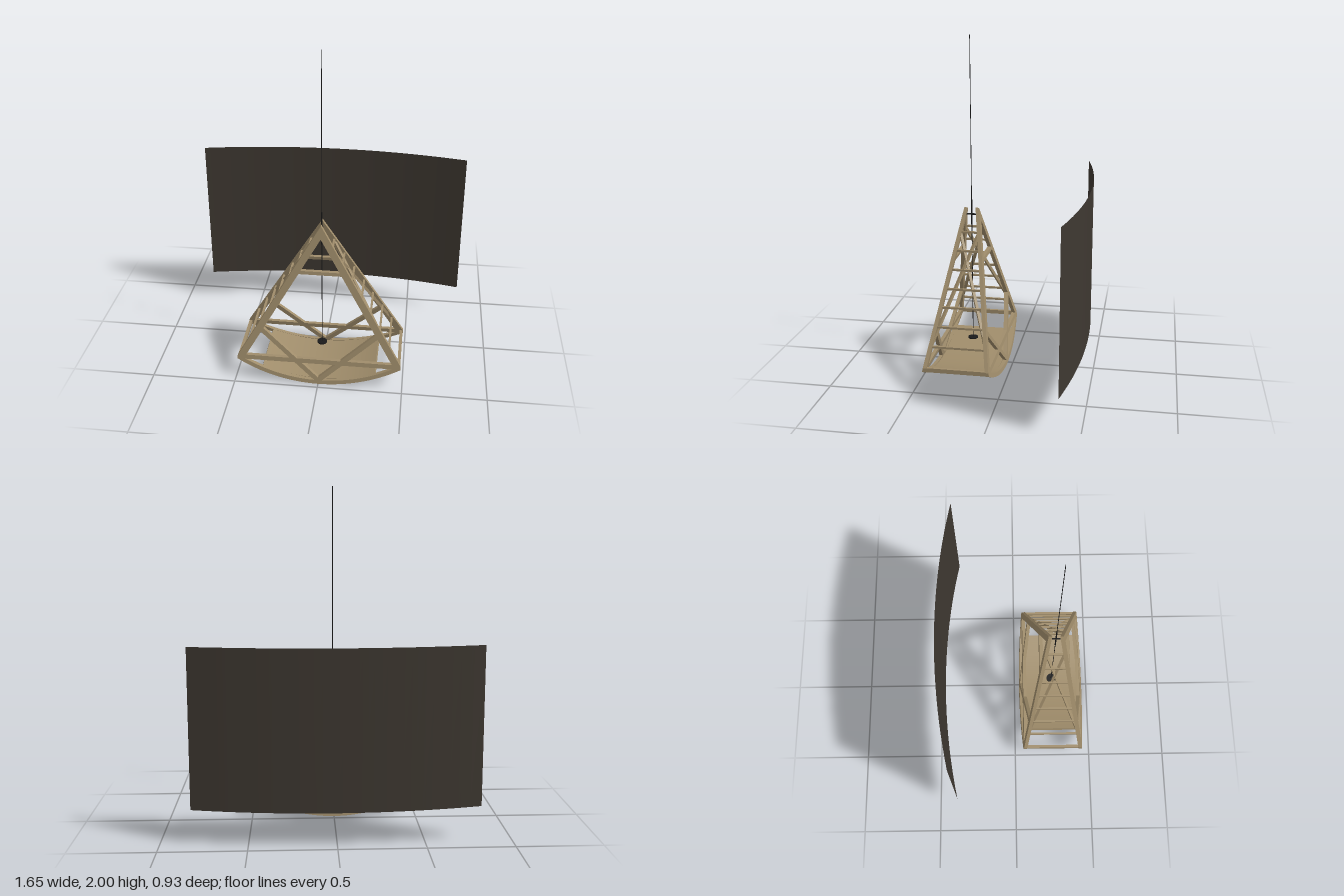
import * as THREE from 'three';

const wood = new THREE.MeshStandardMaterial({ color: 0xa08d6b, name: 'wood' });
const dark = new THREE.MeshStandardMaterial({ color: 0x1a1a1a, name: 'darkMetal' });
const panelMat = new THREE.MeshStandardMaterial({ color: 0x3e3831, name: 'panelBrown', side: THREE.DoubleSide });

const APEX = 0.985, THICK = 0.022, SLOPE = 0.1755, BASE = 0.218;
const halfDepth = (y) => BASE - SLOPE * y; // frames lean in toward the top
const legX = (y) => 0.487 * (0.965 - y) / 0.835;

function add(parent, name, geometry, material) {
  const mesh = new THREE.Mesh(geometry, material);
  mesh.name = name;
  parent.add(mesh);
  return mesh;
}

function poly(points) {
  return new THREE.Shape(points.map(([x, y]) => new THREE.Vector2(x, y)));
}

// flat bar between two points in the frame plane
function bar([ax, ay], [bx, by], w) {
  const l = Math.hypot(bx - ax, by - ay), nx = -(by - ay) / l * w / 2, ny = (bx - ax) / l * w / 2;
  return poly([[ax - nx, ay - ny], [bx - nx, by - ny], [bx + nx, by + ny], [ax + nx, ay + ny]]);
}

// band of an arc hung below the apex
function arcBand(outer, inner, angle) {
  const shape = new THREE.Shape();
  shape.absarc(0, APEX, outer, -Math.PI / 2 - angle, -Math.PI / 2 + angle, false);
  shape.absarc(0, APEX, inner, -Math.PI / 2 + angle, -Math.PI / 2 - angle, true);
  return shape;
}

// square beam between two points of its parent
function beam(parent, name, a, b, w, h) {
  const from = new THREE.Vector3(...a), to = new THREE.Vector3(...b);
  const mesh = add(parent, name, new THREE.BoxGeometry(w, h, from.distanceTo(to)), wood);
  mesh.position.copy(from).add(to).multiplyScalar(0.5);
  mesh.quaternion.setFromRotationMatrix(new THREE.Matrix4().lookAt(to, from, new THREE.Vector3(0, 1, 0)));
  return mesh;
}

// leaning sector-shaped frame
function sectorFrame(name) {
  const frame = new THREE.Group();
  frame.name = name;
  const lean = new THREE.Matrix4().set(1, 0, 0, 0, 0, 1, 0, 0, 0, -SLOPE, 1, BASE - THICK, 0, 0, 0, 1);
  const part = (partName, shape) => add(frame, partName,
    new THREE.ExtrudeGeometry(shape, { depth: THICK, bevelEnabled: false, curveSegments: 28 }).applyMatrix4(lean), wood);
  part('legs', poly([[0, APEX], [-0.487, 0.15], [-0.487, 0.128], [-0.446, 0.14], [0, 0.905],
    [0.446, 0.14], [0.487, 0.128], [0.487, 0.15]]));
  part('rockerArc', arcBand(APEX, APEX - 0.024, 0.517));
  part('chordBar', bar([-0.475, 0.144], [0.475, 0.144], 0.027));
  part('collarBar', bar([-0.14, 0.7], [0.14, 0.7], 0.02));
  for (const s of [-1, 1]) part('diagonalBrace', bar([0, 0.022], [s * 0.36, 0.345], 0.028));
  return frame;
}

export function createModel() {
  const model = new THREE.Group();
  model.name = 'hangingFrameAndPanel';
  const cradle = new THREE.Group();
  cradle.name = 'cradle';
  cradle.position.z = 0.25;
  model.add(cradle);

  // front and back frames
  cradle.add(sectorFrame('frontFrame'));
  const back = sectorFrame('backFrame');
  back.rotation.y = Math.PI;
  cradle.add(back);

  // ladder sides with crossed braces
  for (const s of [-1, 1]) {
    const side = new THREE.Group();
    side.name = s > 0 ? 'leftLadder' : 'rightLadder';
    cradle.add(side);
    const sill = halfDepth(0.14) - 0.011;
    beam(side, 'sill', [s * 0.476, 0.14, -sill], [s * 0.476, 0.14, sill], 0.018, 0.025);
    for (const y of [0.255, 0.355, 0.455, 0.55, 0.65, 0.75, 0.85]) {
      const d = halfDepth(y) - 0.011;
      beam(side, 'rung', [s * legX(y), y, -d], [s * legX(y), y, d], 0.012, 0.012);
    }
    for (const k of [-1, 1]) {
      beam(side, 'crossBrace', [s * (legX(0.255) - 0.008), 0.255, k * (halfDepth(0.255) - 0.011)],
        [s * (legX(0.85) - 0.008), 0.85, -k * (halfDepth(0.85) - 0.011)], 0.016, 0.016);
    }
  }

  // curved floor and the joists below it
  const floor = add(cradle, 'floor', new THREE.ExtrudeGeometry(arcBand(0.973, 0.962, 0.357),
    { depth: 0.376, bevelEnabled: false, curveSegments: 24 }), wood);
  floor.position.z = -0.188;
  for (let i = -2; i <= 2; i++) {
    const a = i * 0.172, x = 0.977 * Math.sin(a), y = APEX - 0.977 * Math.cos(a);
    const d = halfDepth(y) - 0.012;
    const joist = beam(cradle, 'joist', [x, y, -d], [x, y, d], 0.022, 0.014);
    joist.rotateZ(a);
  }

  // hanging wire, hook, cross pin and plumb disc
  const rod = (name, r, y0, y1, sides) => {
    const mesh = add(cradle, name, new THREE.CylinderGeometry(r, r, y1 - y0, sides), dark);
    mesh.position.y = (y0 + y1) / 2;
    return mesh;
  };
  rod('wire', 0.002, 0.15, 2, 8);
  rod('hookRod', 0.004, 0.84, 1.05, 8);
  rod('plumbDisc', 0.03, 0.15, 0.157, 20);
  const pin = add(cradle, 'crossPin', new THREE.CylinderGeometry(0.005, 0.005, 0.08, 8), dark);
  pin.rotation.x = Math.PI / 2;
  pin.position.y = 0.945;

  // curved backdrop panel
  const half = Math.asin(0.824 / 4);
  const panel = add(model, 'backdropPanel',
    new THREE.CylinderGeometry(4, 4, 0.928, 24, 1, true, Math.PI - half, half * 2), panelMat);
  panel.position.set(0, 0.662, 3.535);
  return model;
}
